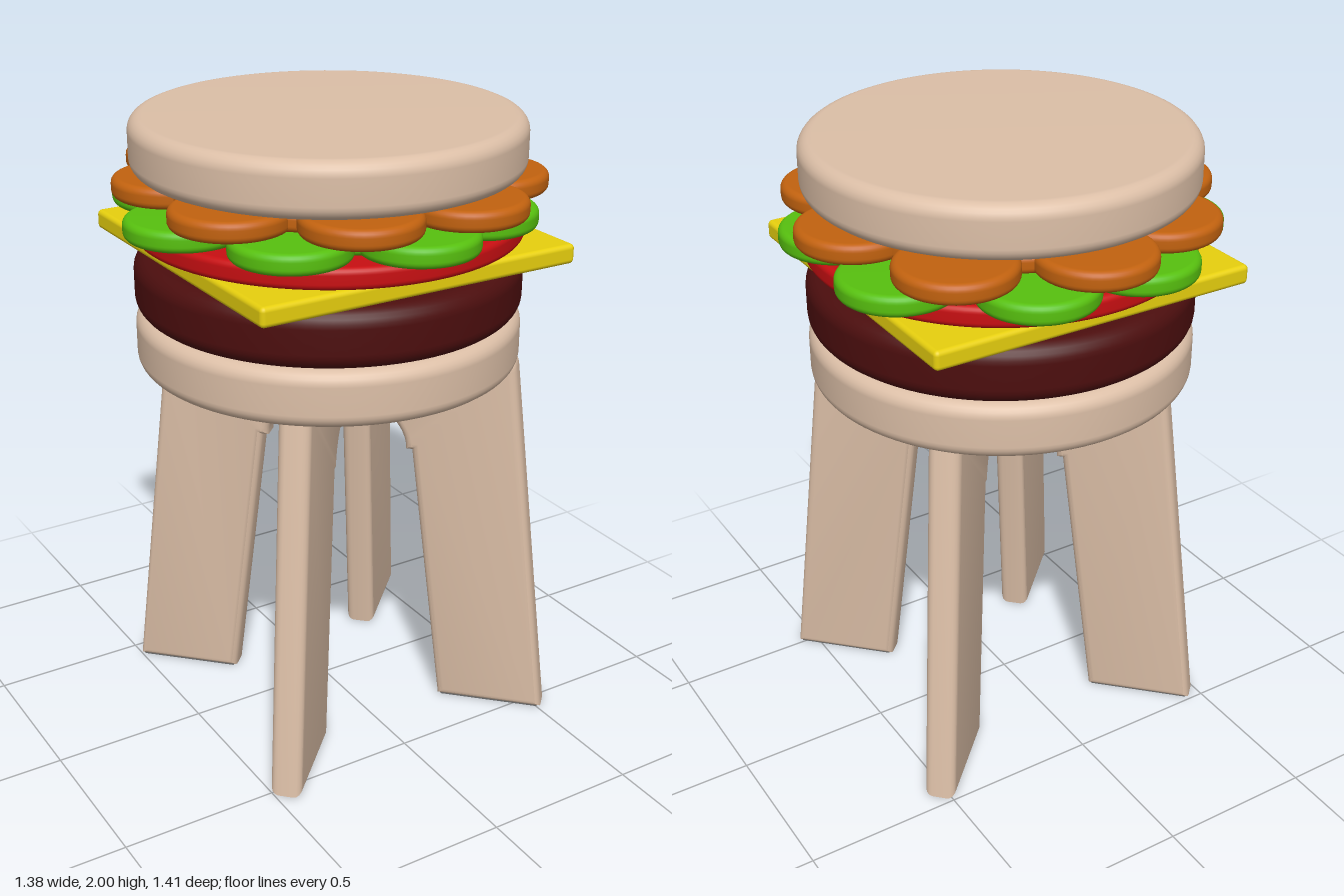
import * as THREE from 'three';
import { toCreasedNormals } from 'three/addons/utils/BufferGeometryUtils.js';
import { RoundedBoxGeometry } from 'three/addons/geometries/RoundedBoxGeometry.js';

const paint = (name, color) => {
  const m = new THREE.MeshStandardMaterial({ color });
  m.name = name;
  return m;
};

// Flat disc with rounded rims, from y0 to y1
function disc(r, y0, y1, round, segments = 72) {
  const pts = [new THREE.Vector2(0, y0)];
  for (const [cy, start] of [[y0 + round, -Math.PI / 2], [y1 - round, 0]]) {
    for (let i = 0; i <= 6; i++) {
      const a = start + (i / 6) * Math.PI / 2;
      pts.push(new THREE.Vector2(r - round + Math.cos(a) * round, cy + Math.sin(a) * round));
    }
  }
  pts.push(new THREE.Vector2(0, y1));
  return new THREE.LatheGeometry(pts, segments);
}

// One arched plank that forms two opposite legs
function plankGeometry() {
  const thick = 0.1, bevel = 0.025;
  const s = new THREE.Shape();
  s.moveTo(0.36, 0.003);
  s.lineTo(0.714, 0.003);
  s.lineTo(0.575, 1.22);
  s.quadraticCurveTo(0.57, 1.27, 0.52, 1.27);
  s.lineTo(-0.52, 1.27);
  s.quadraticCurveTo(-0.57, 1.27, -0.575, 1.22);
  s.lineTo(-0.714, 0.003);
  s.lineTo(-0.36, 0.003);
  s.lineTo(-0.25, 0.915);
  s.lineTo(-0.23, 0.915);
  s.absellipse(0, 0.915, 0.23, 0.175, Math.PI, 0, true);
  s.lineTo(0.25, 0.915);
  s.closePath();
  const g = new THREE.ExtrudeGeometry(s, {
    depth: thick - 2 * bevel, bevelEnabled: true, bevelThickness: bevel,
    bevelSize: bevel, bevelOffset: -bevel, bevelSegments: 4, curveSegments: 20,
  });
  g.translate(0, 0, -thick / 2 + bevel);
  return toCreasedNormals(g, 0.6);
}

export function createModel() {
  const wood = paint('pale wood', 0xdcbfa7);
  const brown = paint('dark brown', 0x4c0e0e);
  const yellow = paint('cheese yellow', 0xeed60f);
  const red = paint('tomato red', 0xc80f12);
  const green = paint('lettuce green', 0x57c00f);
  const orange = paint('sauce orange', 0xc2620f);
  const grey = paint('foot grey', 0x6a6a6a);

  const model = new THREE.Group();
  model.name = 'burgerStool';
  const add = (parent, name, geometry, material, x = 0, y = 0, z = 0) => {
    const mesh = new THREE.Mesh(geometry, material);
    mesh.name = name;
    mesh.position.set(x, y, z);
    parent.add(mesh);
    return mesh;
  };

  // Round layers: name, radius, bottom, top, rim rounding, material
  const layers = [
    ['bottomBun', 0.605, 1.212, 1.392, 0.045, wood],
    ['patty', 0.605, 1.39, 1.577, 0.055, brown],
    ['tomato', 0.605, 1.635, 1.702, 0.02, red],
    ['topBun', 0.605, 1.83, 2.0, 0.045, wood],
  ];
  for (const [name, r, y0, y1, round, material] of layers) {
    add(model, name, disc(r, y0, y1, round, 96), material, 0, 0, 0.018);
  }

  // Square cheese slice
  add(model, 'cheese', new RoundedBoxGeometry(1.08, 0.062, 1.08, 3, 0.015), yellow, 0, 1.606, 0.018);

  // Frilly layers: a core disc ringed by round lobes
  const frill = (name, y0, y1, material, lobes) => {
    const group = new THREE.Group();
    group.name = name;
    add(group, name + 'Core', disc(0.53, y0 + 0.003, y1 - 0.003, 0.02), material);
    const lobe = disc(0.18, y0, y1, 0.022, 48);
    lobes.forEach(([x, z]) => add(group, name + 'Lobe', lobe, material, x, 0, z));
    model.add(group);
  };
  frill('lettuce', 1.7, 1.765, green, [
    [-0.14, -0.5], [0.2, -0.5], [0.5, -0.25], [0.488, 0.14], [0.28, 0.41],
    [-0.01, 0.525], [-0.35, 0.39], [-0.514, 0.06], [-0.387, -0.29],
  ]);
  frill('sauce', 1.768, 1.832, orange, [
    [0.03, -0.53], [0.398, -0.394], [0.51, -0.02], [0.4, 0.3], [0.17, 0.505],
    [-0.18, 0.488], [-0.458, 0.24], [-0.455, -0.14], [-0.278, -0.417],
  ]);

  // Two crossed planks with foot pads
  const plank = plankGeometry();
  const pad = new THREE.BoxGeometry(0.33, 0.007, 0.07);
  for (const side of [1, -1]) {
    const legs = new THREE.Group();
    legs.name = side > 0 ? 'legPairA' : 'legPairB';
    legs.position.set(0.03, 0, 0.037);
    legs.rotation.y = side * Math.PI / 4;
    add(legs, 'archedPlank', plank, wood);
    for (const end of [1, -1]) add(legs, 'footPad', pad, grey, end * 0.537, 0.0035, 0);
    model.add(legs);
  }
  return model;
}
